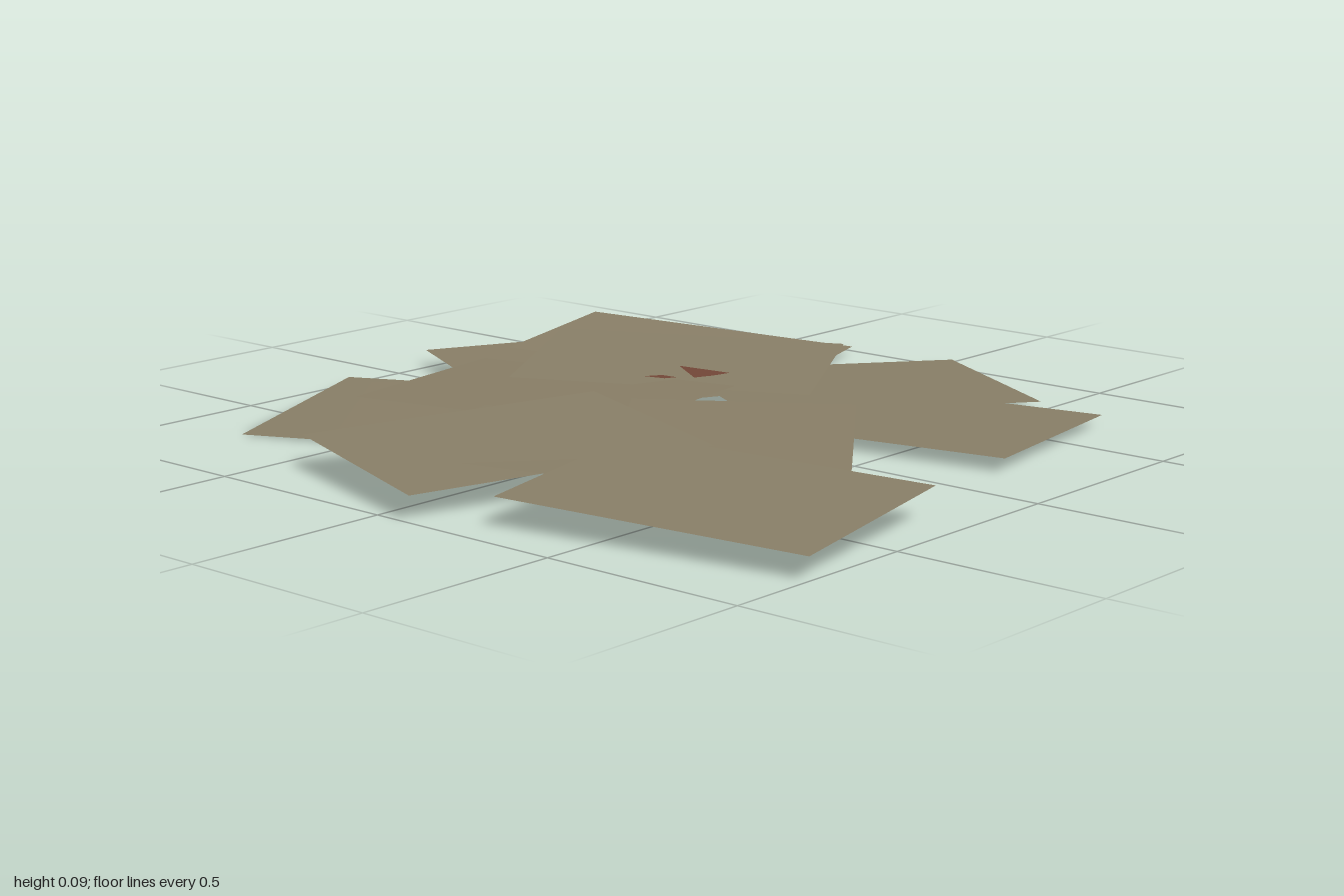
import * as THREE from 'three';

const LONG = 0.757, SHORT = 0.536;

export function createModel() {
  const group = new THREE.Group();
  group.name = 'scatteredPapers';
  const paper = new THREE.MeshStandardMaterial({ name: 'agedPaper', color: 0x8a8068, side: THREE.DoubleSide });
  const red = new THREE.MeshStandardMaterial({ name: 'rustStain', color: 0x744838, side: THREE.DoubleSide });

  // One loose sheet: centre, turn in degrees, rise along the long and short edges
  function sheet(name, x, y, z, turn, riseLong, riseShort) {
    const geo = new THREE.PlaneGeometry(LONG, SHORT).rotateX(-Math.PI / 2);
    const p = geo.attributes.position;
    for (let i = 0; i < p.count; i++) {
      p.setY(i, riseLong * p.getX(i) / LONG + riseShort * p.getZ(i) / SHORT);
    }
    geo.rotateY(-THREE.MathUtils.degToRad(turn));
    geo.computeVertexNormals();
    const mesh = new THREE.Mesh(geo, paper);
    mesh.name = name;
    mesh.position.set(x, y, z);
    group.add(mesh);
  }

  // Sheets, roughly from the bottom of the pile to the top
  [
    ['frontRightLowSheet', -0.515, 0.025, 0.333, -19.7, 0.02, -0.03],
    ['frontRightSheet', -0.40, 0.03, 0.206, -37, 0.013, -0.022],
    ['backLeftLowSheet', 0.37, 0.026, -0.38, -9.5, 0.006, 0.006],
    ['backSheet', 0.09, 0.038, -0.53, -60, -0.024, 0.003],
    ['rightSheet', -0.545, 0.04, -0.178, 25.5, -0.012, 0],
    ['backRightSheet', -0.54, 0.04, -0.595, -18.4, -0.038, 0.002],
    ['middleSheet', -0.40, 0.053, 0.072, -9.2, 0.015, 0],
    ['frontLowSheet', 0.04, 0.062, 0.46, -13.3, 0.004, 0.006],
    ['backRightTopSheet', -0.36, 0.064, -0.38, -29.3, -0.01, -0.018],
    ['leftSheet', 0.305, 0.065, 0.19, 53, -0.005, 0.005],
    ['frontTopSheet', -0.06, 0.0715, 0.548, -73, 0.011, -0.022],
    ['frontLeftTopSheet', 0.582, 0.07, 0.578, -9.2, -0.015, -0.025],
  ].forEach((s) => sheet(...s));

  // Flat stain patch drawn in x and z
  function stain(name, shape, y) {
    const mesh = new THREE.Mesh(new THREE.ShapeGeometry(shape, 24).rotateX(Math.PI / 2), red);
    mesh.name = name;
    mesh.position.y = y;
    group.add(mesh);
  }
  const outline = (pts) => new THREE.Shape(pts.map(([x, z]) => new THREE.Vector2(x, z)));

  // Stain showing through on top
  stain('topStain', outline([[-0.32, -0.33], [-0.17, -0.35], [-0.18, -0.30], [-0.20, -0.25]]), 0.063);
  stain('topStainDrop', outline([[-0.305, -0.18], [-0.28, -0.22], [-0.235, -0.225], [-0.25, -0.195]]), 0.063);

  // Half-round stain on the underside, with a stray sliver
  const half = new THREE.Shape();
  half.absarc(-0.387, -0.364, 0.215, THREE.MathUtils.degToRad(36), THREE.MathUtils.degToRad(216), false);
  half.closePath();
  stain('undersideStain', half, 0.03);
  stain('undersideStainSliver', outline([[-0.12, -0.415], [-0.316, -0.37], [-0.196, -0.334]]), 0.025);

  return group;
}
